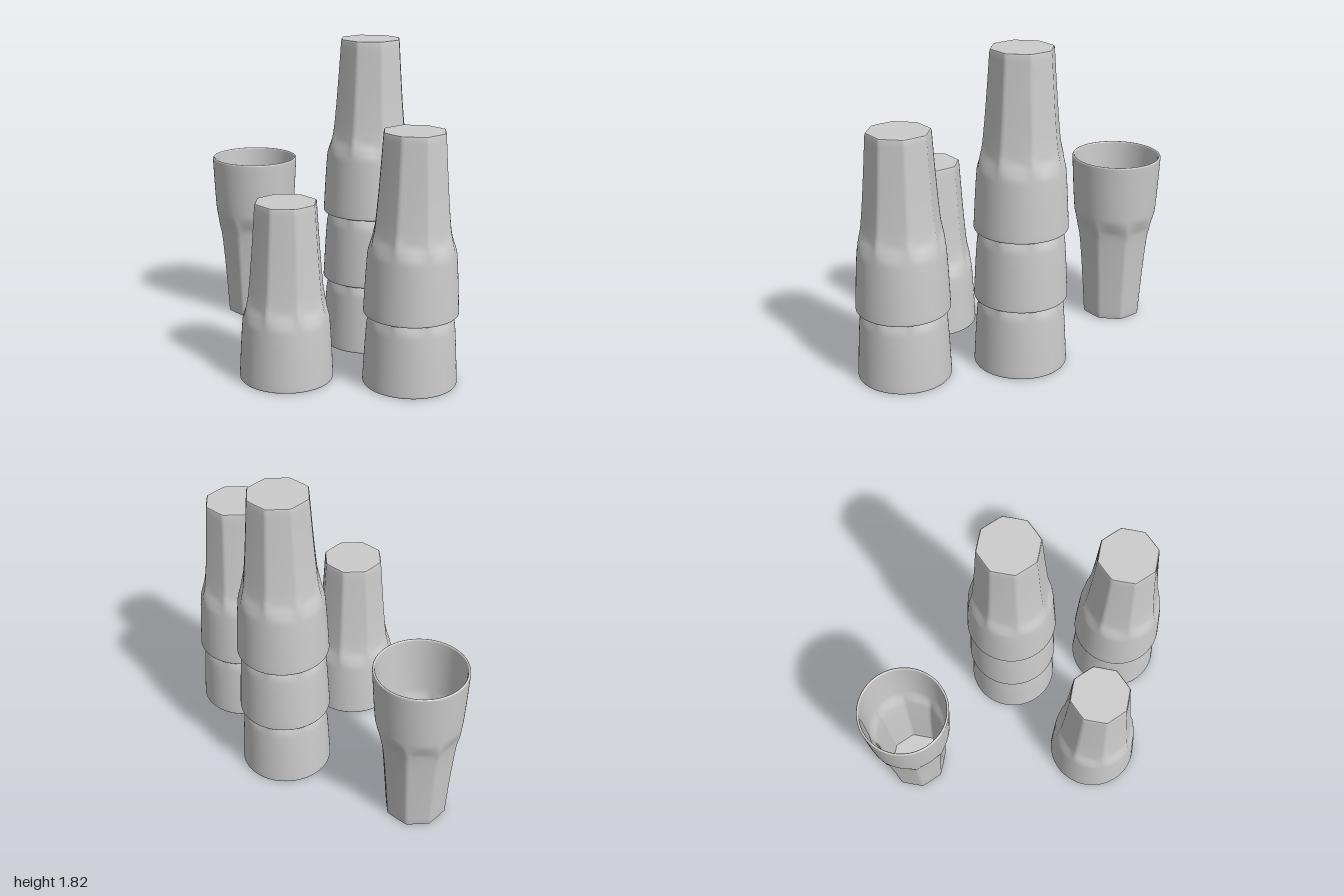
import * as THREE from 'three';

const H = 1.01, STEP = 0.405, WALL = 0.014, FLOOR = 0.03, SEG = 96;

// Wall profile from base to rim: x = radius at facet middle, y = height, z = radius at facet corner
const profile = new THREE.CatmullRomCurve3([
  [0.165, 0, 0.177], [0.178, 0.2, 0.191], [0.193, 0.4, 0.207], [0.206, 0.53, 0.221],
  [0.213, 0.575, 0.231], [0.229, 0.62, 0.239], [0.241, 0.66, 0.2425], [0.246, 0.71, 0.246],
  [0.253, 0.82, 0.253], [0.262, 1.0, 0.262],
].map(p => new THREE.Vector3(...p)));

// Each ring is { y, flat, corner }; repeated rings make a sharp edge
function ringsToGeometry(rings) {
  const pos = [], index = [];
  const maxW = 1 / Math.cos(Math.PI / 8) - 1;
  for (const { y, flat, corner } of rings) {
    for (let j = 0; j < SEG; j++) {
      const t = j / SEG * Math.PI * 2;
      const phi = ((t + Math.PI / 8) % (Math.PI / 4)) - Math.PI / 8;
      const w = (1 / Math.cos(phi) - 1) / maxW;
      const r = flat + (corner - flat) * w;
      pos.push(r * Math.cos(t), y, -r * Math.sin(t));
    }
  }
  for (let i = 0; i < rings.length - 1; i++) {
    for (let j = 0; j < SEG; j++) {
      const k = (j + 1) % SEG;
      const a = i * SEG + j, b = i * SEG + k, c = a + SEG, d = b + SEG;
      index.push(a, b, c, b, d, c);
    }
  }
  const g = new THREE.BufferGeometry();
  g.setAttribute('position', new THREE.Float32BufferAttribute(pos, 3));
  g.setIndex(index);
  g.computeVertexNormals();
  return g;
}

function glassGeometry() {
  const N = 44;
  const pts = profile.getPoints(N);
  const ring = (p, inset = 0, y = p.y) => ({ y, flat: p.x - inset, corner: p.z - inset });
  const centre = y => ({ y, flat: 0, corner: 0 });
  const rings = [];
  // Underside and its slightly eased edge
  rings.push(centre(0), ring(pts[0], 0.004, 0), ring(pts[0], 0.004, 0), ring(pts[0], 0, 0.006));
  // Outer wall, then rounded rim
  pts.slice(1).forEach(p => rings.push(ring(p)));
  const top = pts[N];
  for (let i = 1; i < 6; i++) {
    const a = i / 6 * Math.PI;
    rings.push(ring(top, WALL / 2 * (1 - Math.cos(a)), 1 + (H - 1) * Math.sin(a)));
  }
  // Inner wall down to the floor
  const inner = pts.filter(p => p.y > FLOOR + 0.005).reverse();
  inner.forEach(p => rings.push(ring(p, WALL)));
  const foot = ring(pts[1], WALL + 0.002, FLOOR);
  rings.push(foot, foot, centre(FLOOR));
  return ringsToGeometry(rings);
}

export function createModel() {
  const group = new THREE.Group();
  group.name = 'glasses';
  const material = new THREE.MeshStandardMaterial({ color: 0xcccccc });
  const geometry = glassGeometry();

  const addGlass = (parent, name, y, inverted) => {
    const mesh = new THREE.Mesh(geometry, material);
    mesh.name = name;
    mesh.position.y = inverted ? y + H : y;
    if (inverted) mesh.rotation.x = Math.PI;
    parent.add(mesh);
  };

  // Upright glass
  const upright = new THREE.Group();
  upright.name = 'uprightGlass';
  upright.position.set(-0.738, 0, -0.19);
  addGlass(upright, 'glass', 0, false);
  group.add(upright);

  // Upside-down glasses, nested in stacks
  for (const [name, x, z, count] of [
    ['singleGlass', 0.235, 0.36, 1],
    ['stackOfTwo', 0.735, -0.113, 2],
    ['stackOfThree', 0.118, -0.368, 3],
  ]) {
    const stack = new THREE.Group();
    stack.name = name;
    stack.position.set(x, 0, z);
    for (let i = 0; i < count; i++) addGlass(stack, `glass${i + 1}`, i * STEP, true);
    group.add(stack);
  }
  return group;
}
